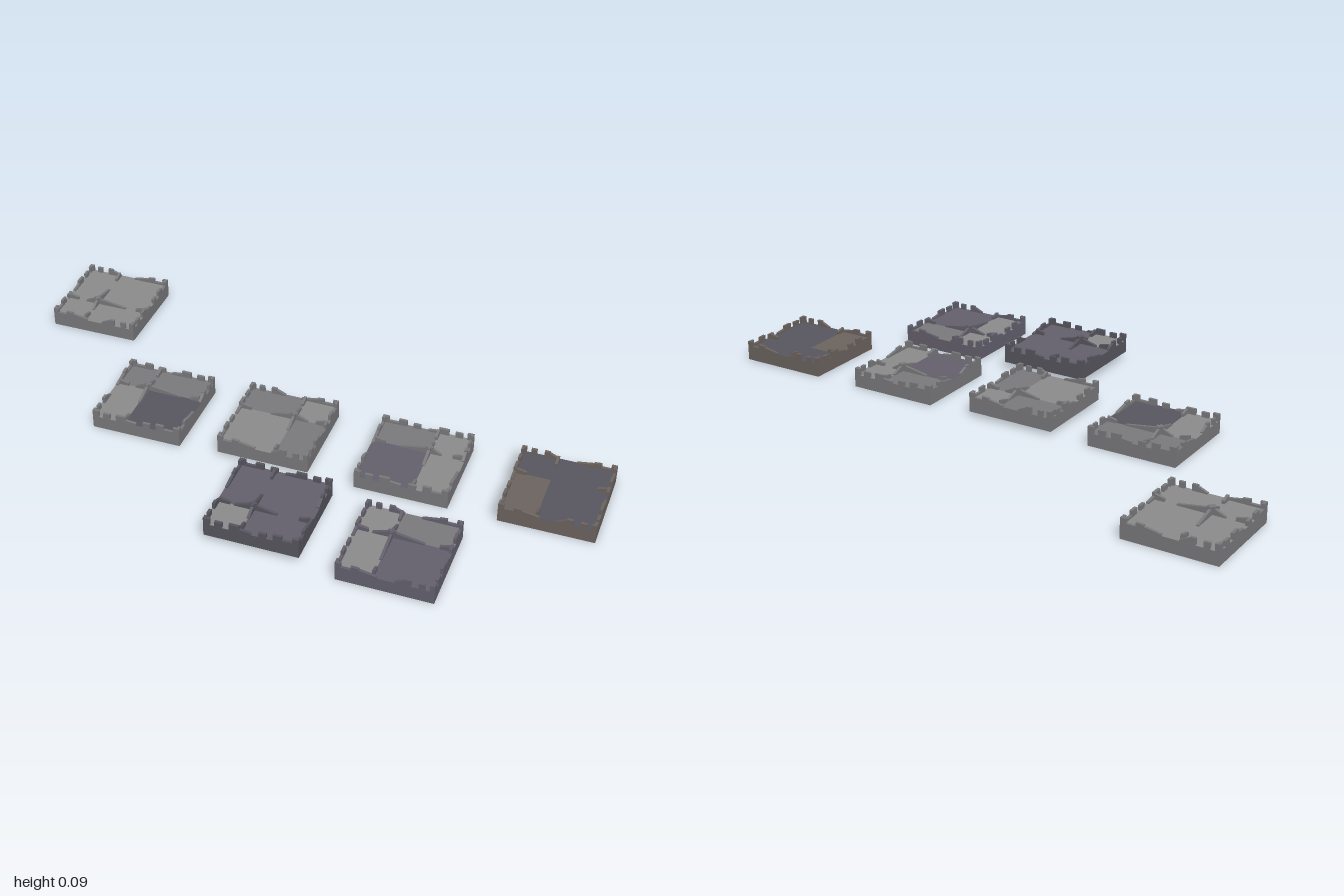
import * as THREE from 'three';

const SIZE = 0.298, FLOOR = 0.043, PANEL = 0.003, THICK = 0.009;

// Shared stone colours
const paint = color => new THREE.MeshStandardMaterial({ color, flatShading: true });
const STONE = {
  light: paint(0x8c8c8c), mid: paint(0x7a797c), warm: paint(0x6c645f),
  slate: paint(0x64616d), dark: paint(0x58565f), under: paint(0x4c4c4e),
};

// Ruined wall outlines: [start, end, height at start, height at end], along a unit side
const RIMS = [
  [[0, 0.06, 0.065, 0.065], [0.06, 0.16, 0.05, 0.05], [0.16, 0.24, 0.062, 0.06], [0.24, 0.42, 0.056, 0.047],
    [0.6, 0.7, 0.047, 0.06], [0.7, 0.76, 0.064, 0.064], [0.84, 0.9, 0.062, 0.062], [0.95, 1, 0.065, 0.065]],
  [[0, 0.07, 0.065, 0.065], [0.12, 0.2, 0.06, 0.06], [0.27, 0.38, 0.063, 0.063], [0.38, 0.5, 0.052, 0.048],
    [0.58, 0.66, 0.058, 0.058], [0.73, 0.82, 0.063, 0.063], [0.82, 0.93, 0.05, 0.05], [0.93, 1, 0.065, 0.065]],
];

// One upright slab with a sloped top, running along x from a to b
function slab(a, b, ha, hb, material) {
  const y = FLOOR - 0.004;
  const shape = new THREE.Shape([[a, y], [b, y], [b, hb], [a, ha]].map(p => new THREE.Vector2(...p)));
  const geometry = new THREE.ExtrudeGeometry(shape, { depth: THICK, bevelEnabled: false });
  geometry.translate(0, 0, -THICK / 2);
  const mesh = new THREE.Mesh(geometry, material);
  mesh.name = 'wallPiece';
  return mesh;
}

// Row of slabs, centred on the tile
function wall(name, pieces, material) {
  const group = new THREE.Group();
  group.name = name;
  for (const [a, b, ha, hb] of pieces) {
    group.add(slab((a - 0.5) * SIZE, (b - 0.5) * SIZE, ha, hb, material));
  }
  return group;
}

// Inner wall: broken stubs at the rim and, if given, a ridge peaking at the crossing c
function innerPieces(c, ridge) {
  const pieces = [[0.03, 0.14, 0.06, 0.053], [0.87, 0.97, 0.053, 0.06]];
  if (ridge) {
    pieces.push([ridge[0], c - 0.04, 0.047, 0.062], [c - 0.04, c + 0.04, 0.068, 0.068],
      [c + 0.04, ridge[1], 0.062, 0.047]);
  }
  return pieces;
}

// Box with separate stone for sides, top and underside
function block(name, w, h, d, side, top, bottom) {
  const mesh = new THREE.Mesh(new THREE.BoxGeometry(w, h, d), [side, side, top, bottom, side, side]);
  mesh.name = name;
  return mesh;
}

function tile(index, { cx, cz, xs, zs, sides, floors }) {
  const group = new THREE.Group();
  group.name = 'tile' + (index + 1);
  const stone = STONE[sides];

  // Base slab
  const base = block('base', SIZE, FLOOR - PANEL, SIZE, stone, stone, STONE.under);
  base.position.y = (FLOOR - PANEL) / 2;
  group.add(base);

  // Four floor panels meeting at the wall crossing: back pair, then front pair
  floors.forEach((color, i) => {
    const [x0, x1] = i % 2 ? [cx, 1] : [0, cx];
    const [z0, z1] = i < 2 ? [0, cz] : [cz, 1];
    const panel = block('floorPanel', (x1 - x0) * SIZE, PANEL, (z1 - z0) * SIZE, stone, STONE[color], stone);
    panel.position.set(((x0 + x1) / 2 - 0.5) * SIZE, FLOOR - PANEL / 2, ((z0 + z1) / 2 - 0.5) * SIZE);
    group.add(panel);
  });

  // Crumbling rim on all four sides
  ['frontWall', 'leftWall', 'backWall', 'rightWall'].forEach((name, i) => {
    const side = new THREE.Group();
    side.name = name;
    const rim = wall('battlement', RIMS[(i + index) % 2], stone);
    rim.position.z = (SIZE - THICK) / 2;
    side.add(rim);
    side.rotation.y = i * Math.PI / 2;
    group.add(side);
  });

  // Crossing inner walls
  const across = wall('crossWall', innerPieces(cx, xs), stone);
  across.position.z = (cz - 0.5) * SIZE;
  const along = wall('lengthWall', innerPieces(cz, zs), stone);
  along.rotation.y = -Math.PI / 2;
  along.position.x = (cx - 0.5) * SIZE;
  group.add(across, along);
  return group;
}

export function createModel() {
  const model = new THREE.Group();
  model.name = 'ruinTiles';
  // Tile centres, wall crossings, ridge extents and stone colours
  const tiles = [
    { at: [-0.851, 0, -0.443], cx: 0.39, cz: 0.63, xs: [0.24, 0.74], zs: [0.34, 0.78],
      sides: 'mid', floors: ['light', 'light', 'light', 'light'] },
    { at: [-0.477, 0, 0.034], cx: 0.37, cz: 0.37, xs: [0.22, 0.76], zs: [0.2, 0.62],
      sides: 'mid', floors: ['mid', 'mid', 'light', 'dark'] },
    { at: [-0.049, 0.014, 0.034], cx: 0.63, cz: 0.37, xs: [0.36, 0.78], zs: [0.18, 0.58],
      sides: 'mid', floors: ['mid', 'light', 'light', 'mid'] },
    { at: [0.399, 0, 0.034], cx: 0.62, cz: 0.37, xs: [0.3, 0.75], zs: [0.2, 0.6],
      sides: 'mid', floors: ['mid', 'light', 'slate', 'light'] },
    { at: [0.851, 0, 0.034], cx: 0.39, cz: 0.37,
      sides: 'warm', floors: ['dark', 'dark', 'warm', 'dark'] },
    { at: [0.064, 0.026, 0.421], cx: 0.39, cz: 0.63, xs: [0.18, 0.64], zs: [0.4, 0.78],
      sides: 'dark', floors: ['slate', 'slate', 'light', 'slate'] },
    { at: [0.479, 0, 0.443], cx: 0.38, cz: 0.38, xs: [0.18, 0.72], zs: [0.2, 0.74],
      sides: 'slate', floors: ['light', 'mid', 'light', 'slate'] },
  ];
  tiles.forEach((spec, i) => {
    const t = tile(i, spec);
    t.position.set(...spec.at);
    model.add(t);
  });
  return model;
}
